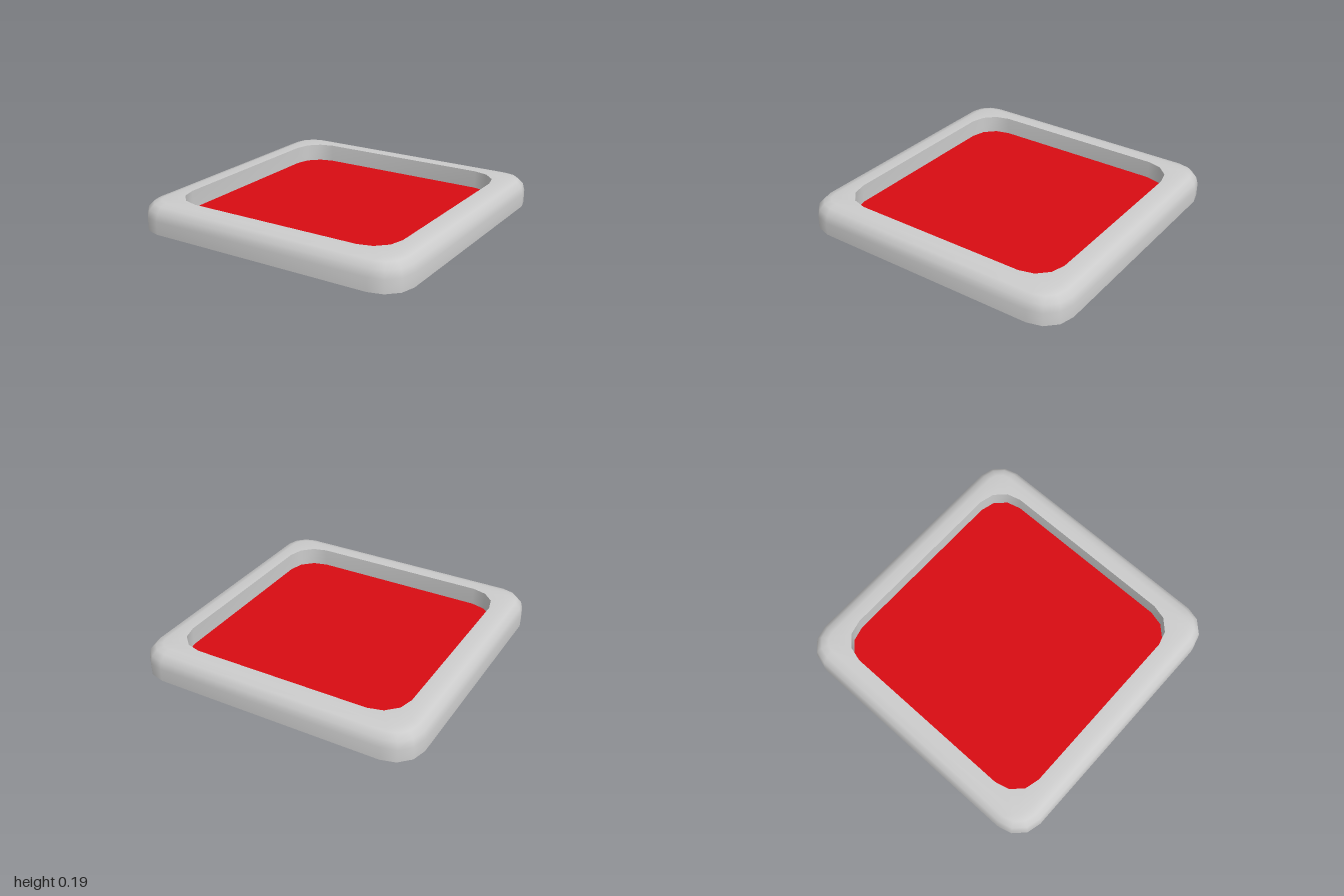
import * as THREE from 'three';
import { toCreasedNormals } from 'three/addons/utils/BufferGeometryUtils.js';

const CORNER_STEPS = 3;

// Rounded square outline, as points in the plane
function outline(half, radius) {
  const points = [];
  const c = half - radius;
  [[1, 1], [-1, 1], [-1, -1], [1, -1]].forEach(([sx, sy], quarter) => {
    for (let i = 0; i <= CORNER_STEPS; i++) {
      const a = (quarter + i / CORNER_STEPS) * Math.PI / 2;
      points.push(new THREE.Vector2(sx * c + radius * Math.cos(a), sy * c + radius * Math.sin(a)));
    }
  });
  return points;
}

// Skin through stacked rounded squares given as [half, radius, y]
function skin(sections) {
  const positions = [];
  const index = [];
  const n = 4 * (CORNER_STEPS + 1);
  sections.forEach(([half, radius, y], s) => {
    outline(half, radius).forEach((p, i) => {
      positions.push(p.x, y, p.y);
      if (s === sections.length - 1) return;
      const a = s * n + i;
      const b = s * n + (i + 1) % n;
      index.push(a, a + n, b, b, a + n, b + n);
    });
  });
  const geometry = new THREE.BufferGeometry();
  geometry.setAttribute('position', new THREE.Float32BufferAttribute(positions, 3));
  geometry.setIndex(index);
  return toCreasedNormals(geometry, 0.7);
}

// Flat rounded square, facing up or down
function plate(half, radius, y, up) {
  const geometry = new THREE.ShapeGeometry(new THREE.Shape(outline(half, radius)));
  geometry.rotateX(up ? -Math.PI / 2 : Math.PI / 2);
  return geometry.translate(0, y, 0);
}

export function createModel() {
  const group = new THREE.Group();
  const grey = new THREE.MeshStandardMaterial({ color: 0xcccccc });
  const red = new THREE.MeshStandardMaterial({ color: 0xd80c12 });

  const add = (name, geometry, material) => {
    const mesh = new THREE.Mesh(geometry, material);
    mesh.name = name;
    group.add(mesh);
  };

  const height = 0.19;
  const bevel = 0.1;
  const floorY = 0.065;

  // Rim: upright side, rounded shoulder, flat top, straight inner wall
  const sections = [[1, 0.2, 0]];
  for (let i = 0; i <= 3; i++) {
    const a = i * Math.PI / 6;
    const inset = bevel * (1 - Math.cos(a));
    sections.push([1 - inset, 0.2 - inset, height - bevel + bevel * Math.sin(a)]);
  }
  sections.push([0.82, 0.2, height], [0.82, 0.2, floorY]);
  add('rim', skin(sections), grey);

  // Underside and recessed floor
  add('underside', plate(1, 0.2, 0, false), grey);
  add('recessedFloor', plate(0.82, 0.2, floorY, true), red);

  return group;
}
